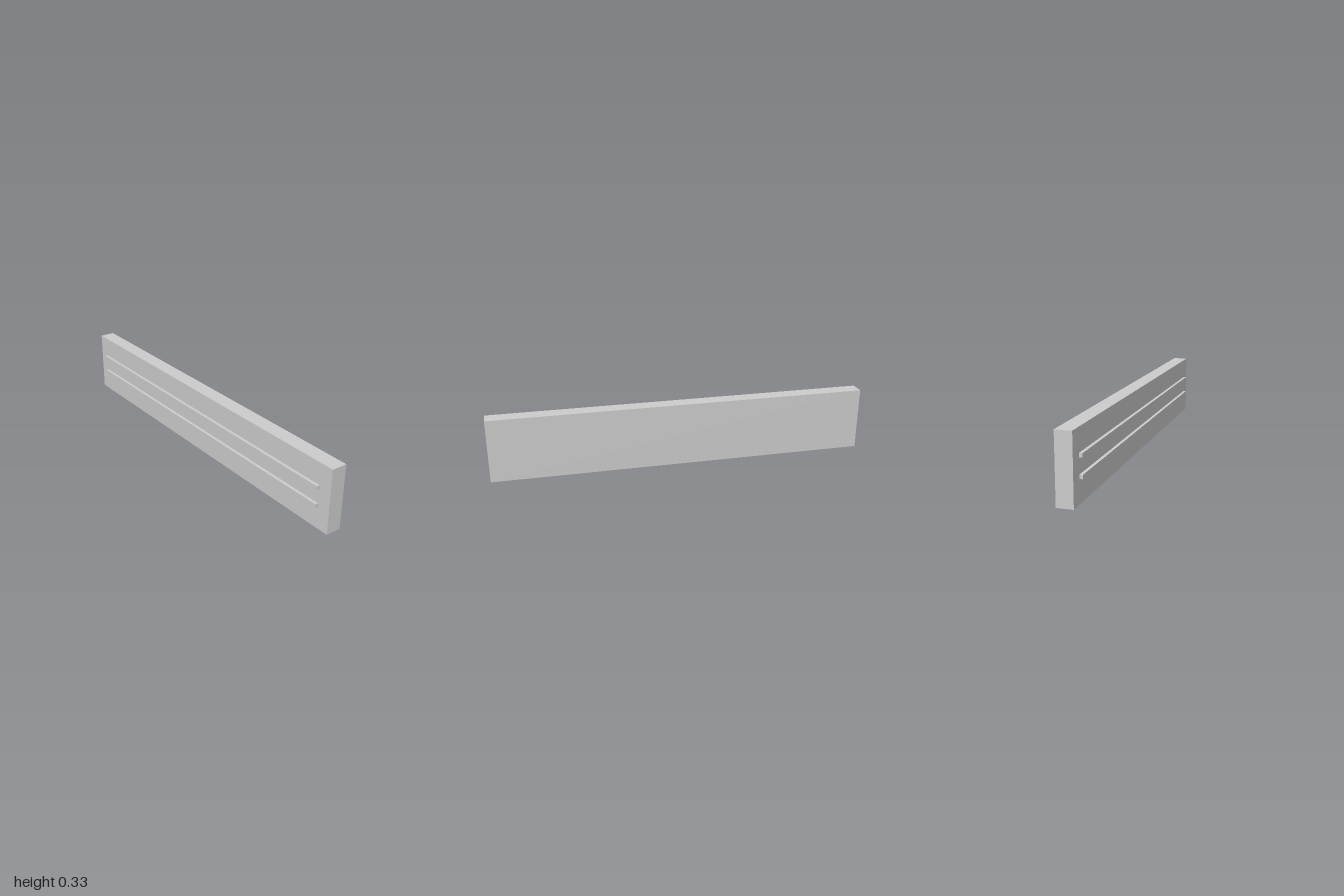
import * as THREE from 'three';

export function createModel() {
  const group = new THREE.Group();
  const material = new THREE.MeshStandardMaterial({ color: 0xcccccc, flatShading: true });

  function addBox(name, size, position) {
    const mesh = new THREE.Mesh(new THREE.BoxGeometry(...size), material);
    mesh.name = name;
    mesh.position.set(...position);
    group.add(mesh);
  }

  // Main flat board
  addBox('panel', [2, 0.334, 0.08], [0, 0.167, -0.008]);

  // Two slim horizontal rails on the front face
  const rails = { lowerRail: 0.121, upperRail: 0.214 };
  for (const [name, y] of Object.entries(rails)) {
    addBox(name, [1.866, 0.019, 0.016], [0, y, 0.04]);
  }

  return group;
}
